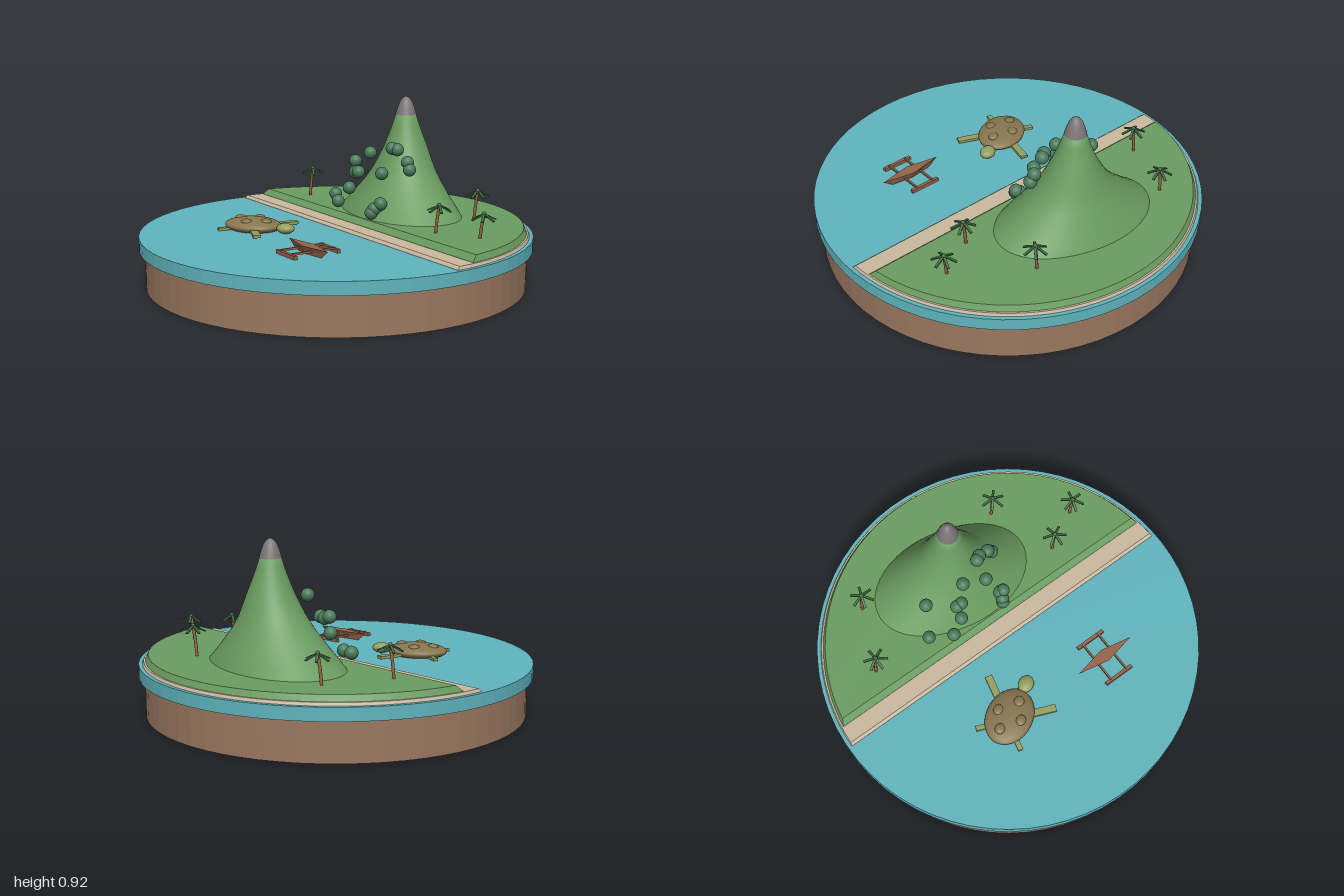
import * as THREE from 'three';

const mat = (name, color) => {
  const m = new THREE.MeshStandardMaterial({ color });
  m.name = name;
  return m;
};
const V = (x, y, z) => new THREE.Vector3(x, y, z);
const TILT = -20 * Math.PI / 180; // shoreline direction

// Joins rings (counterclockwise from above, lowest first) and closes both ends
function loft(rings, smooth = false) {
  const n = rings[0].length, pos = [], idx = [];
  const add = p => pos.push(p.x, p.y, p.z);
  rings.forEach(r => r.forEach(add));
  for (let i = 0; i < rings.length - 1; i++) {
    for (let j = 0; j < n; j++) {
      const a = i * n + j, b = i * n + (j + 1) % n;
      idx.push(a, b, b + n, a, b + n, a + n);
    }
  }
  const bottom = rings.length * n, top = bottom + 1, last = bottom - n;
  for (const r of [rings[0], rings[rings.length - 1]]) {
    add(r.reduce((s, p) => s.add(p), V(0, 0, 0)).divideScalar(n));
  }
  for (let j = 0; j < n; j++) {
    const k = (j + 1) % n;
    if (!smooth) idx.push(bottom, k, j);
    idx.push(top, last + j, last + k);
  }
  let g = new THREE.BufferGeometry();
  g.setAttribute('position', new THREE.Float32BufferAttribute(pos, 3));
  g.setIndex(idx);
  if (!smooth) g = g.toNonIndexed();
  g.computeVertexNormals();
  return g;
}

// Circle segment behind the line z = d
function segment(r, d, y) {
  const a0 = Math.asin(-d / r), pts = [];
  for (let i = 0; i <= 48; i++) {
    const a = a0 + (Math.PI - 2 * a0) * i / 48;
    pts.push(V(r * Math.cos(a), y, -r * Math.sin(a)));
  }
  return pts;
}

// Slightly lobed ellipse of the mountain, turned along the shore
function mountainRing([y, a, b]) {
  const t = Math.min(1, (y - 0.3) / 0.35), pts = [];
  const cx = 0.105 + 0.025 * t, cz = -0.43 - 0.01 * t;
  for (let i = 0; i < 48; i++) {
    const p = i / 48 * Math.PI * 2;
    const k = 1 + (1 - t) * (0.08 * Math.cos(2 * (-p - 0.44)) - 0.02);
    const q = V(a * k * Math.cos(p), y, -b * k * Math.sin(p)).applyAxisAngle(V(0, 1, 0), TILT);
    pts.push(q.add(V(cx, 0, cz)));
  }
  return pts;
}

export function createModel() {
  const root = new THREE.Group();
  root.name = 'islandDiorama';
  const earth = mat('earth', 0x9a7860), water = mat('water', 0x60b4be);
  const sand = mat('sand', 0xcbb9a0), grass = mat('grass', 0x6a9c60);
  const rock = mat('rock', 0x7d7577), bush = mat('bush', 0x4a7a5a);
  const leaf = mat('palmLeaf', 0x3f6b42), shell = mat('shell', 0x87764f);
  const skin = mat('skin', 0x959f60), wood = mat('wood', 0x956448);

  const add = (parent, name, geo, m, x = 0, y = 0, z = 0) => {
    const mesh = new THREE.Mesh(geo, m);
    mesh.name = name;
    mesh.position.set(x, y, z);
    parent.add(mesh);
    return mesh;
  };
  const group = (name, x = 0, y = 0, z = 0, turn = 0) => {
    const g = new THREE.Group();
    g.name = name;
    g.position.set(x, y, z);
    g.rotation.y = turn;
    root.add(g);
    return g;
  };
  const disc = (r, h) => {
    const g = new THREE.CylinderGeometry(r, r, h, 64).toNonIndexed();
    g.computeVertexNormals();
    return g;
  };

  // Round base and sea
  add(root, 'earthBase', disc(0.97, 0.2), earth, 0, 0.1, 0);
  add(root, 'sea', disc(1, 0.065), water, 0, 0.2325, 0);

  // Beach and lawn with sloped edges
  const land = group('land', 0, 0, 0, TILT);
  add(land, 'beach', loft([segment(0.98, -0.012, 0.26), segment(0.98, -0.012, 0.266),
    segment(0.974, -0.027, 0.28)]), sand);
  add(land, 'lawn', loft([segment(0.965, -0.118, 0.275), segment(0.965, -0.118, 0.281),
    segment(0.951, -0.148, 0.31)]), grass);

  // Mountain with a rocky tip
  add(root, 'mountain', loft([[0.3, 0.425, 0.31], [0.35, 0.365, 0.28], [0.4, 0.31, 0.245],
    [0.48, 0.228, 0.195], [0.54, 0.182, 0.162], [0.6, 0.148, 0.135], [0.66, 0.117, 0.111],
    [0.72, 0.091, 0.089], [0.78, 0.068, 0.068], [0.83, 0.052, 0.052]].map(mountainRing), true), grass);
  add(root, 'rockyTip', loft([[0.825, 0.055, 0.055], [0.86, 0.045, 0.045], [0.89, 0.034, 0.034],
    [0.908, 0.022, 0.022], [0.917, 0.01, 0.01], [0.92, 0.002, 0.002]].map(mountainRing), true), rock);

  // Round bushes on the front slope
  const bushGeo = new THREE.SphereGeometry(0.034, 20, 14);
  [[-0.16, 0.555, -0.39], [0.015, 0.63, -0.28], [0.15, 0.665, -0.285], [0.178, 0.66, -0.29],
    [0.245, 0.6, -0.285], [0.265, 0.565, -0.275], [0.13, 0.54, -0.22], [-0.07, 0.52, -0.265],
    [-0.043, 0.525, -0.255], [-0.085, 0.44, -0.23], [-0.158, 0.36, -0.23], [-0.245, 0.375, -0.325],
    [0.175, 0.398, -0.145], [0.16, 0.385, -0.16], [0.145, 0.37, -0.13], [0.135, 0.35, -0.12],
  ].forEach(p => add(root, 'bush', bushGeo, bush, ...p));

  // Leaning palms with six drooping fronds
  const frondGeo = new THREE.BoxGeometry(0.07, 0.006, 0.013);
  frondGeo.translate(0.033, 0, 0);
  [[-0.51, 0.467, -0.465], [-0.27, 0.455, -0.725], [0.56, 0.462, -0.465],
    [0.57, 0.452, -0.08], [0.8, 0.432, -0.115]].forEach(([x, y, z], n) => {
    const palm = group('palm', x, y, z);
    const h = y - 0.305;
    const curve = new THREE.CatmullRomCurve3([V(-0.02, -h, 0), V(-0.012, -h / 2, 0), V(0, 0, 0)]);
    add(palm, 'trunk', new THREE.TubeGeometry(curve, 6, 0.008, 8), wood);
    add(palm, 'crown', new THREE.SphereGeometry(0.011, 10, 8), leaf);
    for (let i = 0; i < 6; i++) {
      const frond = add(palm, 'frond', frondGeo, leaf);
      frond.rotation.set(0, i * Math.PI / 3 + n * 0.7 + 0.2, -0.45, 'YXZ');
    }
  });

  // Turtle swimming toward +x
  const turtle = group('turtle', -0.35, 0, 0.24, 0.13);
  const ball = new THREE.SphereGeometry(1, 28, 18);
  add(turtle, 'shell', ball, shell, 0, 0.288, 0).scale.set(0.155, 0.038, 0.12);
  for (const [x, z] of [[0.085, 0.012], [-0.085, -0.012], [0, 0.062], [0, -0.062]]) {
    add(turtle, 'shellBump', ball, shell, x, 0.315, z).scale.set(0.03, 0.015, 0.027);
  }
  add(turtle, 'head', ball, skin, 0.193, 0.289, 0).scale.set(0.048, 0.026, 0.04);
  for (const s of [1, -1]) {
    const front = add(turtle, 'frontFlipper', new THREE.BoxGeometry(0.16, 0.014, 0.038), skin, 0.096, 0.28, s * 0.132);
    front.rotation.y = -s * 0.87;
    const back = add(turtle, 'backFlipper', new THREE.BoxGeometry(0.09, 0.014, 0.026), skin, -0.102, 0.275, s * 0.093);
    back.rotation.y = s * 0.87;
  }

  // Outrigger boat with pointed hull
  const boat = group('boat', 0.192, 0, 0.475, TILT);
  const hullRing = (l, w, y) => [V(l, y, 0), V(0, y, -w), V(-l, y, 0), V(0, y, w)];
  add(boat, 'hull', loft([hullRing(0.115, 0.016, 0.264), hullRing(0.172, 0.034, 0.305)]), wood);
  for (const s of [1, -1]) {
    add(boat, 'float', new THREE.BoxGeometry(0.165, 0.018, 0.018), wood, 0, 0.275, s * 0.12);
    add(boat, 'beam', new THREE.BoxGeometry(0.01, 0.01, 0.24), wood, s * 0.05, 0.285, 0);
  }
  return root;
}
